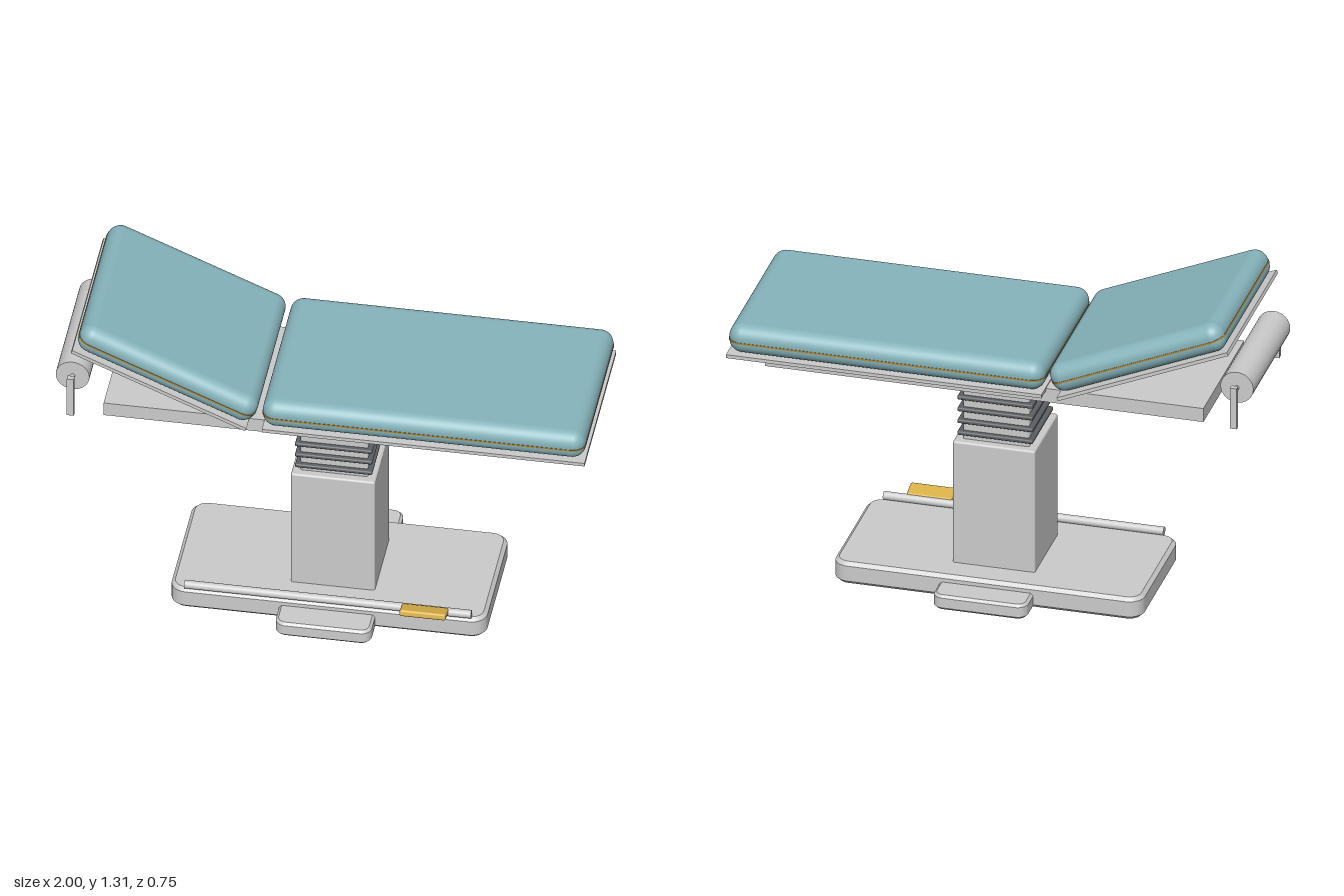
import * as THREE from 'three';
import { RoundedBoxGeometry } from 'three/addons/geometries/RoundedBoxGeometry.js';

const mat = (color) => new THREE.MeshStandardMaterial({ color });
const grey = mat(0xcccccc);
const teal = mat(0x86b4bc);
const gold = mat(0xd9b048);
const piping = mat(0xb08a3c);
const dark = mat(0x5c5f63);

function add(parent, name, geometry, material, x, y, z) {
  const mesh = new THREE.Mesh(geometry, material);
  mesh.name = name;
  mesh.position.set(x, y, z);
  parent.add(mesh);
  return mesh;
}

const box = (w, h, d) => new THREE.BoxGeometry(w, h, d);
const softBox = (w, h, d, r = 0.008, s = 2) => new RoundedBoxGeometry(w, h, d, s, r);

// Rounded rectangle in plan, extruded upward and centred, with chamfered rims
function slab(w, h, d, r, bevel = 0) {
  const x = w / 2 - bevel, y = d / 2 - bevel;
  const s = new THREE.Shape();
  s.moveTo(-x + r, -y);
  s.lineTo(x - r, -y);
  s.absarc(x - r, -y + r, r, -Math.PI / 2, 0);
  s.lineTo(x, y - r);
  s.absarc(x - r, y - r, r, 0, Math.PI / 2);
  s.lineTo(-x + r, y);
  s.absarc(-x + r, y - r, r, Math.PI / 2, Math.PI);
  s.lineTo(-x, -y + r);
  s.absarc(-x + r, -y + r, r, Math.PI, Math.PI * 1.5);
  const g = new THREE.ExtrudeGeometry(s, {
    depth: h - 2 * bevel, curveSegments: 6,
    bevelEnabled: bevel > 0, bevelSize: bevel, bevelThickness: bevel, bevelSegments: 1,
  });
  g.center();
  return g.rotateX(-Math.PI / 2);
}

// Upholstered pad with a thin seam around its edge
function cushion(name, length) {
  const g = new THREE.Group();
  g.name = name;
  add(g, 'pad', softBox(length, 0.115, 0.694, 0.05, 6), teal, 0, 0, 0);
  add(g, 'seam', slab(length + 0.003, 0.007, 0.697, 0.05), piping, 0, -0.005, 0);
  return g;
}

export function createModel() {
  const model = new THREE.Group();
  model.name = 'treatmentTable';

  // Base with side outriggers and rubber feet
  const base = new THREE.Group();
  base.name = 'base';
  model.add(base);
  add(base, 'basePlate', slab(1.184, 0.09, 0.54, 0.045, 0.014), grey, 0.02, 0.052, 0);
  add(base, 'outrigger', slab(0.36, 0.06, 0.755, 0.03, 0.01), grey, 0.02, 0.038, 0);
  for (const x of [-0.5, 0.54])
    for (const z of [-0.21, 0.21])
      add(base, 'foot', new THREE.CylinderGeometry(0.03, 0.03, 0.016, 20), dark, x, 0.008, z);

  // Foot control bar and pedal
  const bar = new THREE.CylinderGeometry(0.016, 0.016, 1.075, 16).rotateZ(Math.PI / 2);
  add(base, 'footBar', bar, grey, 0.022, 0.112, 0.26);
  const pedal = add(base, 'pedal', softBox(0.174, 0.026, 0.07), gold, 0.387, 0.127, 0.295);
  pedal.rotation.x = -0.25;

  // Telescopic lifting column with bellows rings
  const column = new THREE.Group();
  column.name = 'column';
  model.add(column);
  add(column, 'lowerColumn', softBox(0.316, 0.51, 0.32), grey, 0.022, 0.345, 0);
  add(column, 'upperColumn', softBox(0.254, 0.34, 0.256), grey, 0.022, 0.73, 0);
  for (let i = 0; i < 5; i++)
    add(column, 'bellowsRing', softBox(0.29, 0.016, 0.29, 0.006), dark, 0.022, 0.628 + i * 0.049, 0);

  // Frame and the fixed seat section
  add(model, 'frame', box(1.68, 0.056, 0.565), grey, 0.024, 0.908, 0);
  add(model, 'seatPlate', box(1.21, 0.014, 0.69), grey, 0.393, 0.933, 0);
  const seat = cushion('seatCushion', 1.21);
  seat.position.set(0.39, 0.9985, 0);
  model.add(seat);

  // Tilted backrest, hinged next to the seat
  const back = new THREE.Group();
  back.name = 'backrest';
  back.position.set(-0.599, 1.069, 0);
  back.rotation.z = -0.403;
  model.add(back);
  add(back, 'backPlate', box(0.71, 0.014, 0.69), grey, 0, 0, 0);
  const backPad = cushion('backCushion', 0.718);
  backPad.position.set(0.002, 0.066, 0);
  back.add(backPad);

  // Paper roll on its two posts
  const holder = new THREE.Group();
  holder.name = 'rollHolder';
  holder.position.set(-0.937, 1.027, 0);
  model.add(holder);
  const along = (r, l, n) => new THREE.CylinderGeometry(r, r, l, n).rotateX(Math.PI / 2);
  add(holder, 'roll', along(0.063, 0.51, 32), grey, 0, 0, 0);
  add(holder, 'axle', along(0.009, 0.6, 12), grey, 0, 0, 0);
  for (const side of [-1, 1])
    add(holder, 'rollPost', box(0.026, 0.168, 0.022), grey, 0, -0.063, side * 0.295);

  return model;
}
